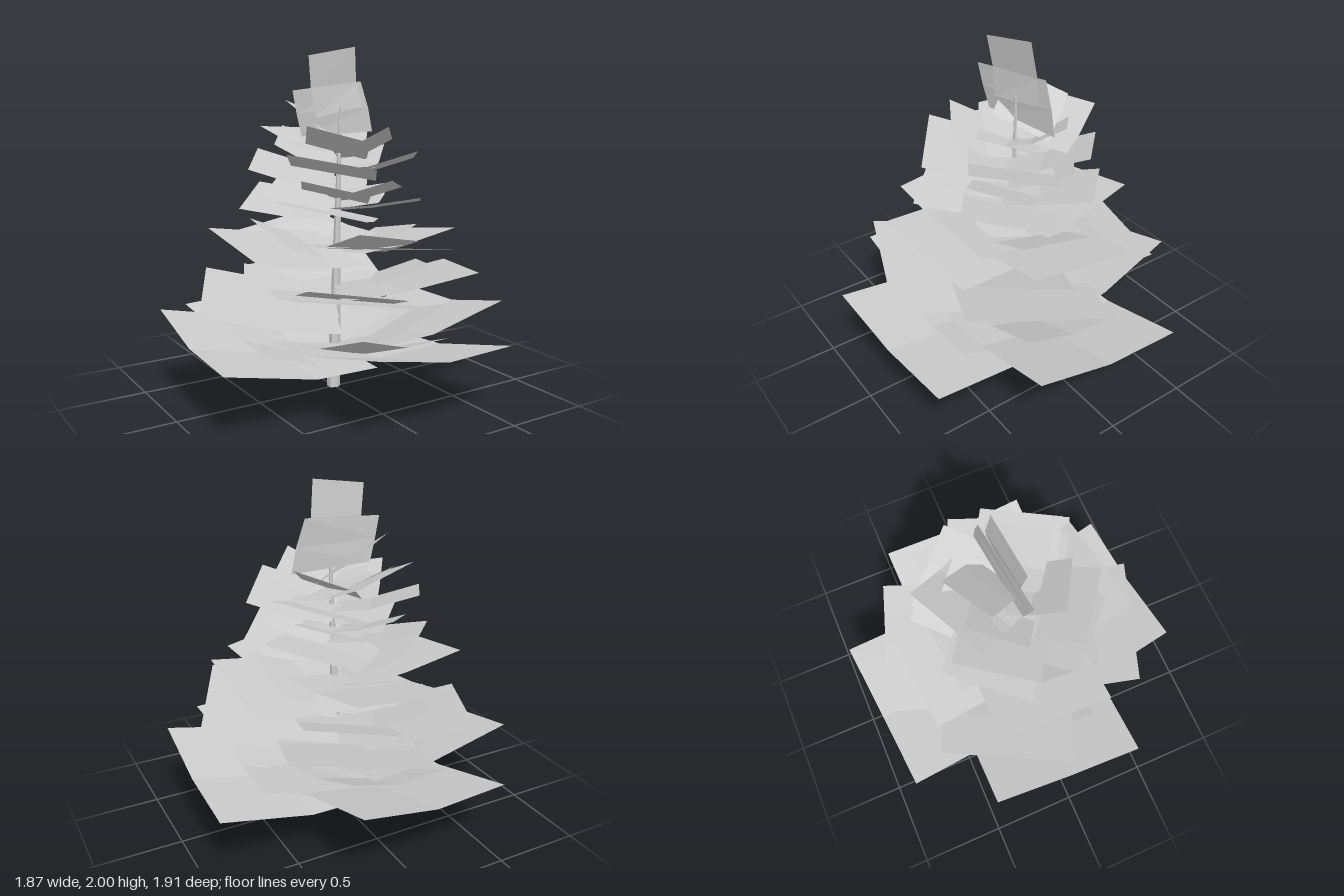
import * as THREE from 'three';

const material = new THREE.MeshStandardMaterial({
  color: 0xcccccc, flatShading: true, side: THREE.DoubleSide,
});
const YAW = 2.5; // degrees by which each bough's width is turned from square

// Thin sheet through rows of points, listed from the tip inward
function sheet(name, rows) {
  const geo = new THREE.BufferGeometry();
  const n = rows[0].length;
  const index = [];
  for (let i = 0; i < rows.length - 1; i++) {
    for (let j = 0; j < n - 1; j++) {
      const a = i * n + j, b = a + n;
      index.push(a, b, a + 1, a + 1, b, b + 1);
    }
  }
  geo.setAttribute('position', new THREE.Float32BufferAttribute(rows.flat(2), 3));
  geo.setIndex(index);
  geo.computeVertexNormals();
  const mesh = new THREE.Mesh(geo, material);
  mesh.name = name;
  return mesh;
}

// Bough: a rectangle reaching out from the trunk, bent up at a fold and rolled
// so that its side towards increasing azimuth is higher; mid is the share of
// the roll reached at its centre line
function bough(name, { r, w, az, y, roll, drop, flat, mid = 0.5 }) {
  const out = THREE.MathUtils.degToRad(az);
  const across = THREE.MathUtils.degToRad(az + YAW);
  const row = (d, dy) => [[-1, 0], [0, mid], [1, 1]].map(([k, lift]) => [
    Math.cos(out) * d - Math.sin(across) * k * w / 2,
    y + dy + roll * lift,
    Math.sin(out) * d + Math.cos(across) * k * w / 2,
  ]);
  return sheet(name, [row(r, 0), row(r * 0.42, -drop), row(0, -drop - flat)]);
}

// Wide and narrow rings from the bottom up; y is each bough's lower tip corner
const tiers = [
  { r: 0.92, w: 0.94, roll: 0.11, drop: 0.12, flat: 0.01, mid: 0.06,
    az: [-1.2, 82.5, 179.4, 262.5], y: [0.39, 0.39, 0.39, 0.39] },
  { r: 0.615, w: 0.62, roll: 0.1, drop: 0.13, flat: 0.025, mid: 0.06,
    az: [-1, 82.5, 179, 262.5], y: [0.39, 0.39, 0.39, 0.39] },
  { r: 0.765, w: 0.79, roll: 0.09, drop: 0.1, flat: 0.03,
    az: [23, 107.6, 203.7, 286.5], y: [0.67, 0.655, 0.575, 0.6] },
  { r: 0.53, w: 0.55, roll: 0.08, drop: 0.1, flat: 0.03,
    az: [26, 108, 204, 287], y: [0.71, 0.65, 0.63, 0.68] },
  { r: 0.66, w: 0.67, roll: 0.1, drop: 0.06, flat: 0.015,
    az: [-3, 80, 178, 262], y: [0.85, 0.89, 0.88, 0.87] },
  { r: 0.445, w: 0.45, roll: 0.09, drop: 0.1, flat: 0.02,
    az: [-1, 79, 179, 261], y: [0.89, 0.92, 0.94, 0.9] },
  { r: 0.495, w: 0.52, roll: 0.09, drop: 0.045, flat: 0.015,
    az: [35, 132.5, 217, 313.5], y: [1.09, 1.09, 1.11, 1.09] },
  { r: 0.365, w: 0.37, roll: 0.08, drop: 0.07, flat: 0.02,
    az: [43, 121, 221, 305], y: [1.19, 1.2, 1.18, 1.19] },
  { r: 0.465, w: 0.47, roll: 0.08, drop: 0.085, flat: 0.015,
    az: [32, 124, 211, 312], y: [1.35, 1.35, 1.33, 1.34] },
  { r: 0.32, w: 0.34, roll: 0.09, drop: 0.1, flat: 0.015,
    az: [37, 118, 214, 309], y: [1.47, 1.48, 1.46, 1.46] },
];

export function createModel() {
  const model = new THREE.Group();
  model.name = 'coniferTree';

  // Slender, slightly leaning trunk
  const trunkGeo = new THREE.CylinderGeometry(0.006, 0.04, 1.66, 6, 1);
  trunkGeo.translate(0, 0.83, 0);
  const pos = trunkGeo.attributes.position;
  for (let i = 0; i < pos.count; i++) {
    const k = pos.getY(i) / 1.66;
    pos.setX(i, pos.getX(i) + 0.045 * k);
    pos.setZ(i, pos.getZ(i) - 0.01);
  }
  trunkGeo.computeVertexNormals();
  const trunk = new THREE.Mesh(trunkGeo, material);
  trunk.name = 'trunk';
  model.add(trunk);

  // Rings of four boughs
  tiers.forEach((tier, i) => {
    const ring = new THREE.Group();
    ring.name = `boughRing${i + 1}`;
    tier.az.forEach((az, j) =>
      ring.add(bough(`bough${j + 1}`, { ...tier, az, y: tier.y[j] })));
    model.add(ring);
  });

  // Steep boughs at the back of the crown, set off the trunk's axis
  const lowerCrown = bough('lowerCrownBough',
    { r: 0.393, w: 0.51, az: 242, y: 1.55, roll: -0.03, drop: 0.1, flat: 0.03 });
  lowerCrown.position.set(0.086, 0, -0.044);
  const upperCrown = bough('upperCrownBough',
    { r: 0.257, w: 0.35, az: 241.5, y: 1.7, roll: -0.09, drop: 0.1, flat: 0.08 });
  upperCrown.position.set(0.06, 0, -0.03);
  model.add(lowerCrown, upperCrown);

  // Upright sheets at the tip
  model.add(sheet('tipLower', [
    [[-0.28, 1.755, 0.015], [0.225, 1.805, -0.07]],
    [[-0.25, 1.63, 0.005], [0.28, 1.65, -0.07]],
    [[-0.21, 1.5, -0.01], [0.31, 1.51, -0.07]],
  ]));
  model.add(sheet('tipUpper', [
    [[-0.18, 1.945, 0.02], [0.155, 2.0, -0.025]],
    [[-0.155, 1.77, 0.0], [0.18, 1.8, -0.05]],
    [[-0.13, 1.605, 0.01], [0.21, 1.66, -0.03]],
  ]));

  return model;
}
